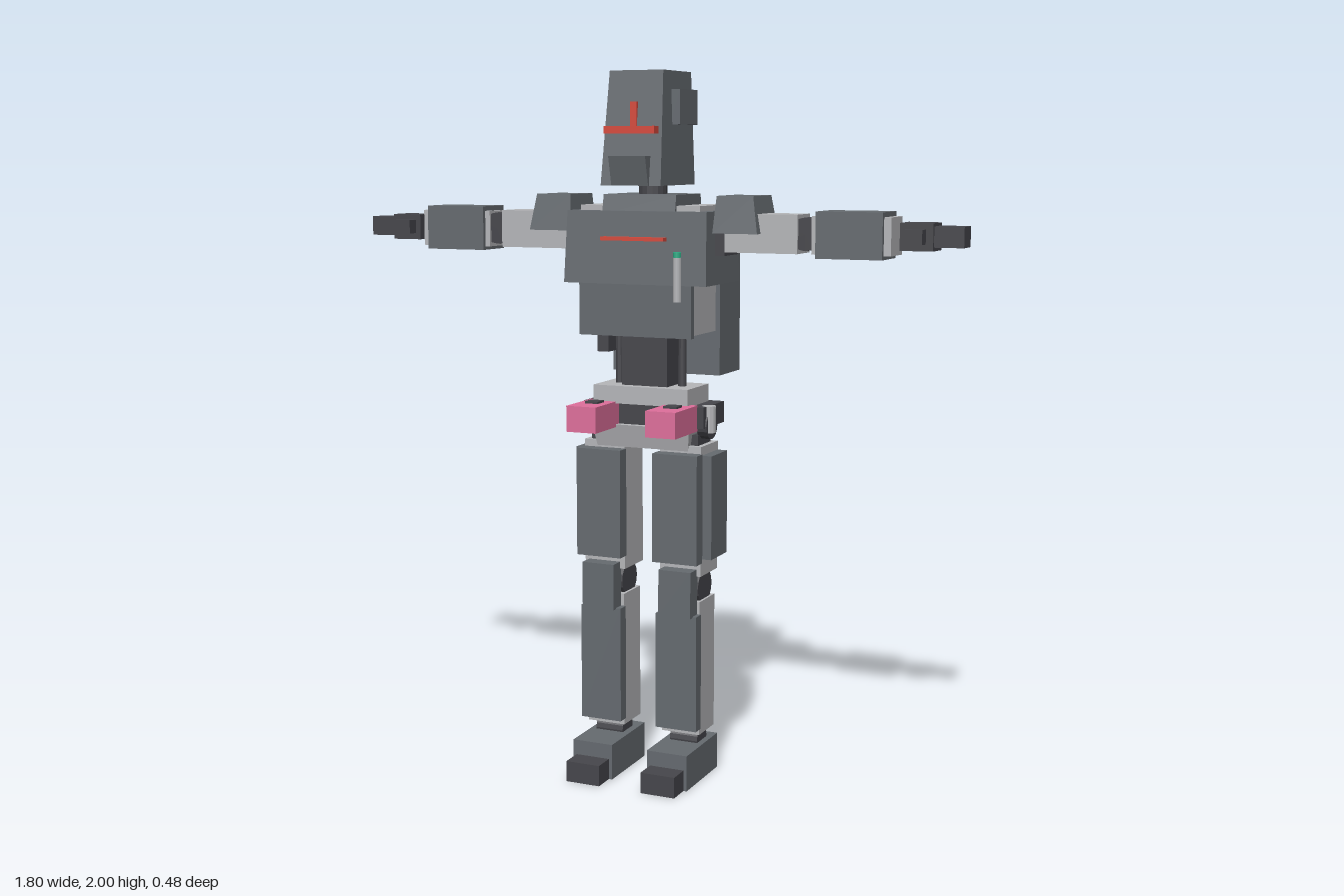
import * as THREE from 'three';

const paint = (color) => new THREE.MeshStandardMaterial({ color, flatShading: true });

export function createModel() {
  const root = new THREE.Group();
  const armour = paint(0x666b70), frame = paint(0xb6b7ba), joint = paint(0x47474c);
  const pink = paint(0xe0709c), red = paint(0xd84a3c), green = paint(0x2fae86);

  const add = (name, geometry, material) => {
    const mesh = new THREE.Mesh(geometry, material);
    mesh.name = name;
    root.add(mesh);
    return mesh;
  };

  // Block from x, y and z ranges; optional different x and z ranges at the top
  const block = (name, material, x, y, z, topX = x, topZ = z) => {
    const g = new THREE.BoxGeometry(1, 1, 1), p = g.attributes.position;
    for (let i = 0; i < p.count; i++) {
      const up = p.getY(i) > 0;
      const rx = up ? topX : x, rz = up ? topZ : z;
      p.setXYZ(i, rx[p.getX(i) > 0 ? 1 : 0], y[up ? 1 : 0], rz[p.getZ(i) > 0 ? 1 : 0]);
    }
    g.computeVertexNormals();
    return add(name, g, material);
  };

  // The same block on both sides of x = 0
  const flip = (r) => [-r[1], -r[0]];
  const pair = (name, material, x, y, z, topX = x, topZ = z) => {
    block(name + 'Left', material, x, y, z, topX, topZ);
    block(name + 'Right', material, flip(x), y, z, flip(topX), topZ);
  };

  // Cylinder along a chosen axis
  const rod = (name, material, axis, radius, length, x, y, z, sides = 16) => {
    const g = new THREE.CylinderGeometry(radius, radius, length, sides);
    if (axis === 'x') g.rotateZ(Math.PI / 2);
    if (axis === 'z') g.rotateX(Math.PI / 2);
    add(name, g, material).position.set(x, y, z);
  };

  // Head
  block('head', armour, [-0.09, 0.09], [1.69, 2], [-0.075, 0.16], [-0.08, 0.08], [-0.07, 0.12]);
  block('chin', armour, [-0.055, 0.055], [1.69, 1.77], [0.13, 0.165], [-0.055, 0.055], [0.13, 0.185]);
  block('visor', red, [-0.075, 0.075], [1.83, 1.85], [0.135, 0.17]);
  block('visorCrest', red, [-0.01, 0.01], [1.85, 1.915], [0.11, 0.14]);
  pair('earPlate', armour, [0.08, 0.108], [1.855, 1.95], [-0.05, 0.07]);
  rod('neck', joint, 'y', 0.04, 0.06, 0, 1.68, 0.01);
  block('collar', armour, [-0.11, 0.11], [1.61, 1.665], [-0.08, 0.11], [-0.11, 0.11], [-0.07, 0.1]);

  // Torso
  block('chest', armour, [-0.215, 0.215], [1.42, 1.62], [-0.105, 0.14], [-0.21, 0.21], [-0.1, 0.125]);
  pair('shoulderStrap', frame, [0.105, 0.18], [1.61, 1.635], [-0.08, 0.1]);
  block('chestStripe', red, [-0.095, 0.095], [1.54, 1.55], [0.125, 0.155]);
  block('abdomen', frame, [-0.16, 0.16], [1.28, 1.42], [-0.065, 0.12]);
  block('abdomenPlate', armour, [-0.17, 0.17], [1.275, 1.42], [0.115, 0.135]);
  block('waist', joint, [-0.07, 0.07], [1.12, 1.29], [-0.02, 0.07]);
  for (const s of [-1, 1]) rod('waistRod', joint, 'y', 0.012, 0.17, s * 0.097, 1.2, 0.025, 10);
  block('backpack', armour, [-0.17, 0.165], [1.15, 1.61], [-0.238, -0.085]);
  block('sidePack', joint, [-0.19, -0.155], [1.21, 1.295], [-0.1, -0.02]);
  rod('chestTube', frame, 'y', 0.011, 0.12, 0.15, 1.44, 0.185, 12);
  rod('chestTubeTip', green, 'y', 0.011, 0.015, 0.15, 1.507, 0.185, 12);

  // Hips and belt
  block('pelvisTop', frame, [-0.145, 0.145], [1.08, 1.13], [-0.05, 0.1]);
  block('belt', joint, [-0.185, 0.185], [1.02, 1.08], [-0.07, 0.08]);
  block('pelvis', frame, [-0.14, 0.14], [0.955, 1.02], [-0.045, 0.085], [-0.15, 0.15], [-0.05, 0.1]);
  pair('pouch', pink, [0.075, 0.165], [1.012, 1.085], [0.075, 0.23]);
  pair('pouchLatch', joint, [0.1, 0.14], [1.07, 1.091], [0.125, 0.165]);
  pair('hipJoint', joint, [0.07, 0.165], [0.93, 1.0], [-0.02, 0.07]);
  rod('beltCanister', frame, 'y', 0.02, 0.075, 0.185, 1.043, 0.04, 12);
  rod('hipKnob', joint, 'x', 0.04, 0.03, 0.175, 1.025, 0.03);

  // Arms
  pair('shoulderJoint', joint, [0.2, 0.24], [1.5, 1.59], [-0.03, 0.07]);
  pair('shoulderPad', armour, [0.215, 0.345], [1.562, 1.663], [-0.067, 0.097], [0.222, 0.328], [-0.055, 0.083]);
  pair('upperArm', frame, [0.215, 0.45], [1.51, 1.615], [-0.03, 0.07]);
  pair('forearm', frame, [0.49, 0.71], [1.51, 1.612], [-0.03, 0.07]);
  pair('forearmSleeve', armour, [0.505, 0.69], [1.5, 1.625], [-0.04, 0.082]);
  pair('palm', joint, [0.73, 0.82], [1.525, 1.598], [-0.02, 0.06]);
  pair('fingers', joint, [0.82, 0.9], [1.535, 1.59], [-0.013, 0.052]);
  pair('thumb', joint, [0.745, 0.8], [1.543, 1.582], [0.06, 0.095]);

  // Legs
  pair('thigh', frame, [0.055, 0.18], [0.6, 0.97], [-0.038, 0.085]);
  pair('thighFrontPlate', armour, [0.05, 0.185], [0.64, 0.95], [0.085, 0.127]);
  pair('thighSidePlate', armour, [0.18, 0.21], [0.65, 0.945], [-0.035, 0.08]);
  pair('kneePlate', armour, [0.07, 0.168], [0.487, 0.62], [0.08, 0.13]);
  pair('shin', frame, [0.06, 0.175], [0.135, 0.525], [-0.03, 0.08]);
  pair('shinPlate', armour, [0.055, 0.18], [0.155, 0.49], [0.08, 0.115]);
  pair('foot', armour, [0.055, 0.178], [0, 0.103], [-0.05, 0.175]);
  pair('toe', joint, [0.065, 0.168], [0, 0.06], [0.17, 0.24]);

  // Round joints
  for (const s of [-1, 1]) {
    rod('elbow', joint, 'z', 0.045, 0.085, s * 0.47, 1.563, 0.02);
    rod('knee', joint, 'x', 0.05, 0.1, s * 0.118, 0.56, 0.025);
    rod('ankle', joint, 'x', 0.035, 0.085, s * 0.118, 0.108, 0.025);
  }
  return root;
}
